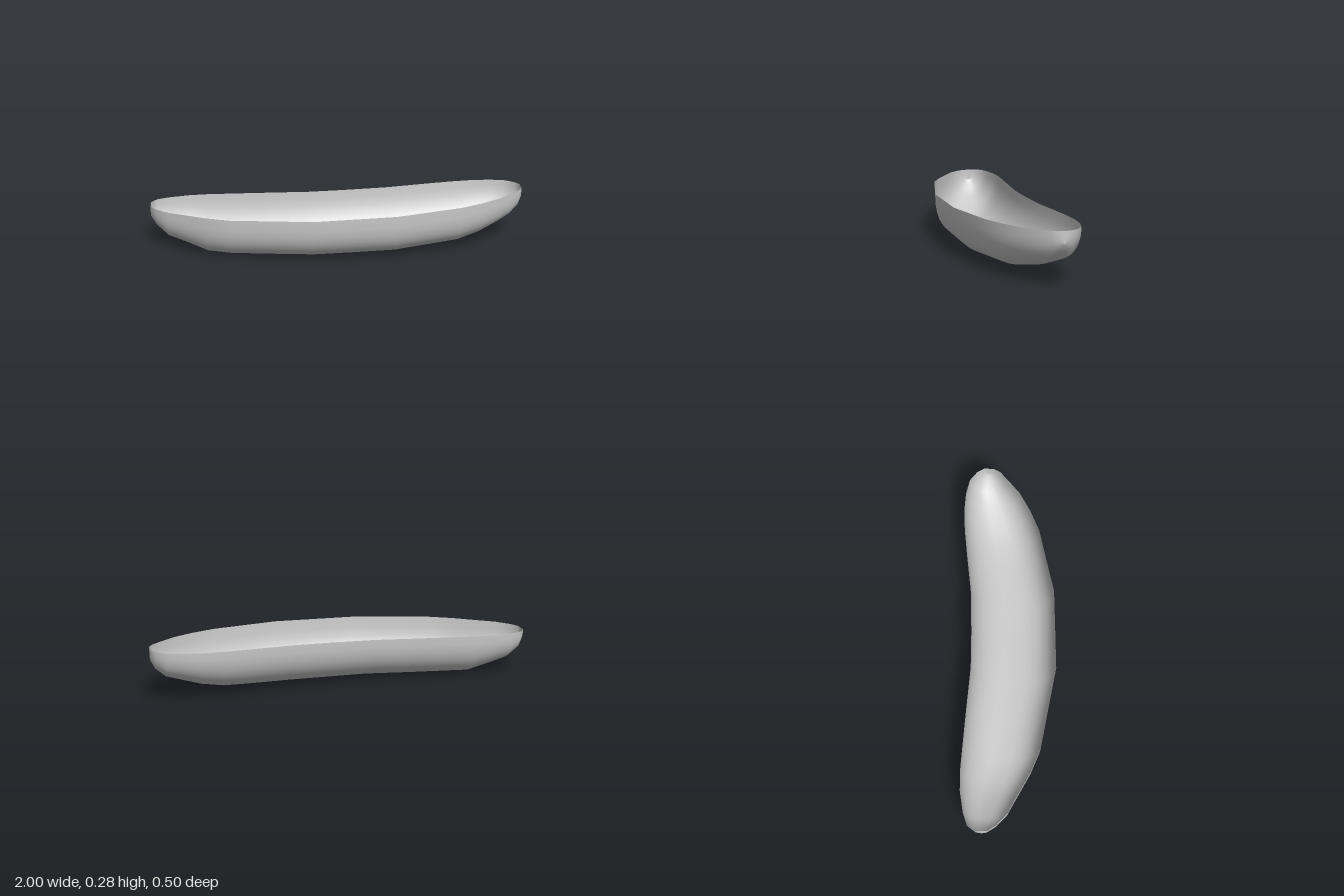
import * as THREE from 'three';

// Cross-sections along the dish: x, back rim z, front rim z, lowest y
const STATIONS = [
  [-1, -0.13, -0.13, 0.17],
  [-1, -0.165, -0.1, 0.165],
  [-0.97, -0.205, -0.055, 0.12],
  [-0.91, -0.225, 0, 0.07],
  [-0.8, -0.242, 0.06, 0.035],
  [-0.7, -0.243, 0.115, 0.002],
  [-0.58, -0.234, 0.165, 0],
  [-0.38, -0.218, 0.203, 0.002],
  [-0.15, -0.198, 0.247, 0.006],
  [0.05, -0.198, 0.243, 0.009],
  [0.28, -0.205, 0.238, 0.014],
  [0.48, -0.228, 0.193, 0.025],
  [0.63, -0.243, 0.16, 0.035],
  [0.75, -0.248, 0.11, 0.063],
  [0.85, -0.24, 0.055, 0.1],
  [0.93, -0.22, -0.01, 0.13],
  [0.98, -0.18, -0.055, 0.175],
  [1, -0.145, -0.09, 0.215],
  [1, -0.12, -0.12, 0.22],
];
const SEGMENTS = 20;

// The rim is a plane that rises gently towards +x
const rimHeight = (x) => 0.253 + 0.025 * x;

// Open curved bowl lofted through rounded half-sections, back rim to front rim
function bowlGeometry() {
  const positions = [];
  const indices = [];
  STATIONS.forEach(([x, back, front, low], i) => {
    const middle = (back + front) / 2;
    const half = (front - back) / 2;
    const top = rimHeight(x);
    for (let j = 0; j <= SEGMENTS; j++) {
      const angle = Math.PI * (1 - j / SEGMENTS);
      const c = Math.cos(angle);
      const s = Math.max(0, Math.sin(angle));
      const power = c > 0 ? 2 / 2.6 : 2 / 2.2; // front wall is steeper
      const z = middle + half * Math.sign(c) * Math.abs(c) ** power;
      const y = top - (top - low) * s ** power;
      positions.push(x, y, z);
      if (i < STATIONS.length - 1 && j < SEGMENTS) {
        const a = i * (SEGMENTS + 1) + j;
        const b = a + SEGMENTS + 1;
        indices.push(a, b, a + 1, b, b + 1, a + 1);
      }
    }
  });
  const geometry = new THREE.BufferGeometry();
  geometry.setAttribute('position', new THREE.Float32BufferAttribute(positions, 3));
  geometry.setIndex(indices);
  geometry.computeVertexNormals();
  return geometry;
}

export function createModel() {
  const group = new THREE.Group();
  group.name = 'curvedDish';
  const material = new THREE.MeshStandardMaterial({ color: 0xcccccc, side: THREE.DoubleSide });
  const bowl = new THREE.Mesh(bowlGeometry(), material);
  bowl.name = 'bowl';
  group.add(bowl);
  return group;
}
